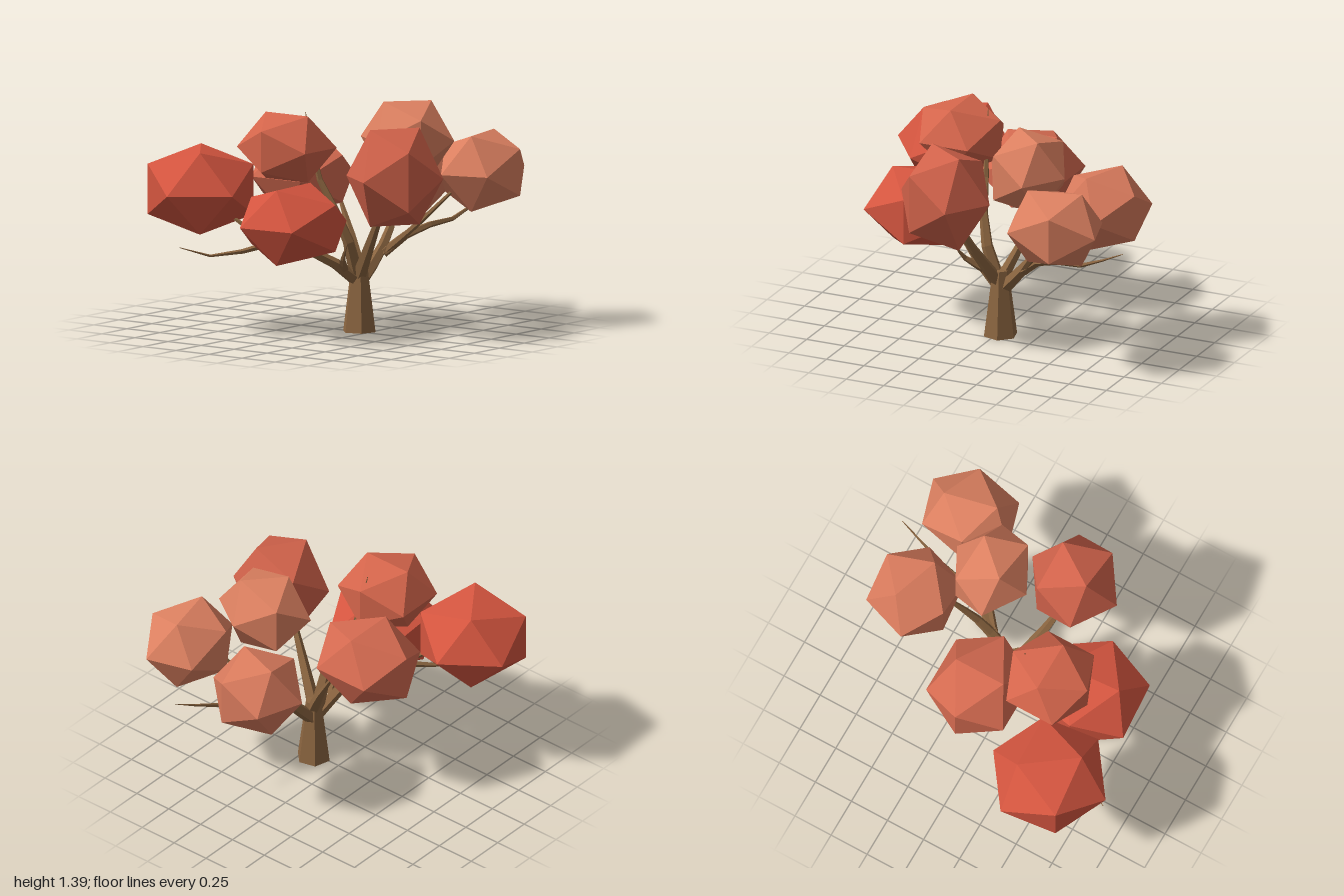
import * as THREE from 'three';

const mat = (color) => new THREE.MeshStandardMaterial({ color, flatShading: true });
const V = (p) => new THREE.Vector3(...p);

// Tapered low-poly limb along a curve, from radius r0 to r1
function limb(name, points, r0, r1, material, segments = 4, sides = 5) {
  const curve = new THREE.CatmullRomCurve3(points.map(V));
  const geo = new THREE.TubeGeometry(curve, segments, 1, sides, false);
  const pos = geo.attributes.position;
  const v = new THREE.Vector3();
  for (let i = 0; i <= segments; i++) {
    const t = i / segments;
    const centre = curve.getPointAt(t);
    const r = r0 + (r1 - r0) * t;
    for (let j = 0; j <= sides; j++) {
      const k = i * (sides + 1) + j;
      v.fromBufferAttribute(pos, k).sub(centre).multiplyScalar(r).add(centre);
      pos.setXYZ(k, v.x, v.y, v.z);
    }
  }
  geo.computeVertexNormals();
  const mesh = new THREE.Mesh(geo, material);
  mesh.name = name;
  return mesh;
}

// Leaf clump: icosahedron turned about y, then stretched
function clump(name, centre, radius, yaw, stretch, color) {
  const geo = new THREE.IcosahedronGeometry(radius, 0);
  geo.rotateY(THREE.MathUtils.degToRad(yaw));
  geo.scale(...stretch);
  const mesh = new THREE.Mesh(geo, mat(color));
  mesh.position.set(...centre);
  mesh.name = name;
  return mesh;
}

export function createModel() {
  const tree = new THREE.Group();
  tree.name = 'tree';
  const wood = mat(0x8b6540);

  // Trunk
  const trunkGeo = new THREE.CylinderGeometry(0.05, 0.106, 0.42, 6);
  trunkGeo.rotateY(0.25);
  const trunk = new THREE.Mesh(trunkGeo, wood);
  trunk.position.set(0.022, 0.21, 0.175);
  trunk.name = 'trunk';
  tree.add(trunk);

  // Branches: name, path, start radius, end radius
  const branches = new THREE.Group();
  branches.name = 'branches';
  [
    ['frontBranch', [[0.01, 0.34, 0.18], [-0.08, 0.6, 0.35], [-0.15, 0.85, 0.5]], 0.045, 0.015],
    ['upperBranch', [[0, 0.36, 0.17], [-0.1, 0.65, 0.15], [-0.15, 0.9, 0.02], [-0.18, 1.34, -0.08]], 0.045, 0.002],
    ['backBranch', [[0.03, 0.36, 0.17], [0.09, 0.52, 0.08], [0.17, 0.76, -0.08]], 0.04, 0.012],
    ['rightBranch', [[0.04, 0.3, 0.17], [0.17, 0.44, 0.2], [0.3, 0.6, 0.2], [0.45, 0.83, 0.15]], 0.045, 0.015],
    ['longBranch', [[0.2, 0.46, 0.22], [0.4, 0.6, 0.33], [0.63, 0.62, 0.39], [0.98, 0.78, 0.47]], 0.032, 0.002],
    ['leftBranch', [[0.02, 0.3, 0.17], [-0.18, 0.45, 0.1], [-0.42, 0.57, -0.1], [-0.72, 0.5, -0.32], [-0.94, 0.57, -0.46]], 0.042, 0.002],
    ['backLeftTwig', [[-0.38, 0.56, -0.07], [-0.52, 0.64, -0.22], [-0.6, 0.8, -0.45]], 0.02, 0.008],
    ['leftTwig', [[-0.1, 0.4, 0.15], [-0.2, 0.48, 0.22], [-0.235, 0.58, 0.28]], 0.03, 0.002],
    ['frontRightTwig', [[0.2, 0.46, 0.22], [0.34, 0.64, 0.38], [0.48, 0.85, 0.55]], 0.025, 0.01],
  ].forEach(([name, path, r0, r1]) =>
    branches.add(limb(name, path, r0, r1, wood, path.length + 1)));
  tree.add(branches);

  // Foliage: name, centre, radius, yaw in degrees, stretch, colour
  const foliage = new THREE.Group();
  foliage.name = 'foliage';
  [
    ['backLeftClump', [-0.615, 0.88, -0.545], 0.375, 36, [1, 0.78, 1], 0xd4553f],
    ['lowLeftClump', [-0.54, 0.715, 0.1], 0.356, 4, [1, 0.76, 1], 0xd4553f],
    ['highLeftClump', [-0.36, 1.147, -0.085], 0.303, 90, [1, 0.785, 1], 0xd4654b],
    ['backClump', [0.03, 0.918, -0.26], 0.333, 0, [0.94, 0.82, 1.06], 0xd46a50],
    ['frontClump', [-0.155, 1.0, 0.577], 0.3, -34, [1, 1.157, 1], 0xd0624a],
    ['topClump', [0.285, 1.16, 0.34], 0.29, -38, [0.9, 0.93, 1.05], 0xdc8060],
    ['rightClump', [0.668, 0.89, 0.077], 0.3, 71, [1, 0.91, 1], 0xd87a5c],
    ['frontRightClump', [0.613, 0.955, 0.66], 0.306, 14.5, [1.05, 0.885, 0.92], 0xdc8060],
  ].forEach((c) => foliage.add(clump(...c)));
  tree.add(foliage);

  return tree;
}
